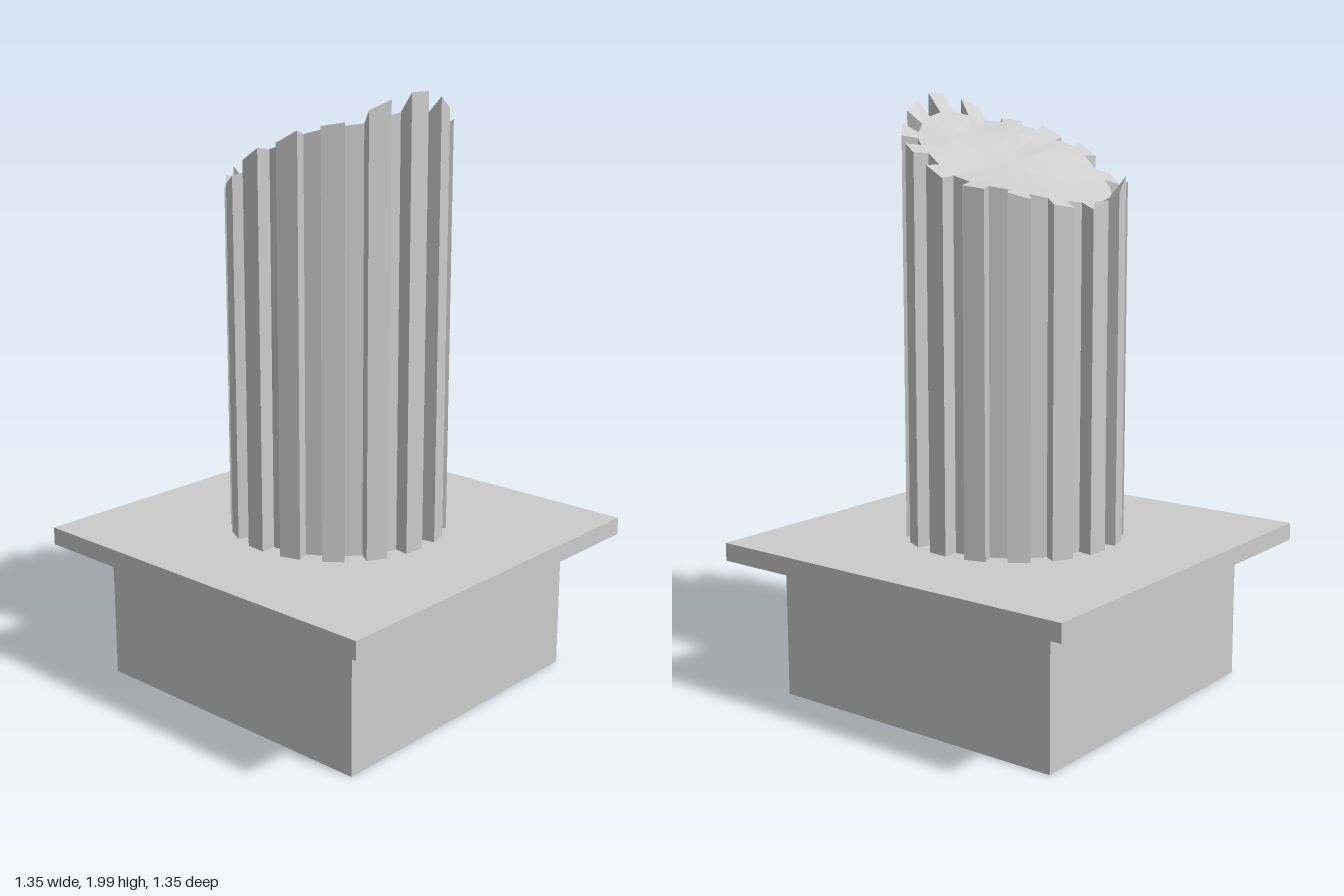
import * as THREE from 'three';

const OUTER = 0.364, INNER = 0.312, SIDES = 32, BASE_Y = 0.53;

// Heights of the break along z, on the left (-x) and right (+x) flank
const LOW_X = [[-0.36, 1.63], [-0.2, 1.69], [-0.13, 1.73], [-0.07, 1.78], [0, 1.82], [0.07, 1.84],
  [0.13, 1.88], [0.27, 1.92], [0.335, 2.0], [0.37, 2.04]];
const HIGH_X = [[-0.36, 1.62], [-0.2, 1.68], [-0.07, 1.7], [0, 1.72], [0.13, 1.79], [0.27, 1.84],
  [0.335, 1.89], [0.37, 1.95]];
// Splintered corners standing up at the back, by corner index
const SPLINTERS = { 21: 1.7, 22: 1.72, 23: 1.67, 24: 1.65 };

function sample(table, z) {
  for (let i = 1; i < table.length; i++) {
    const [z0, y0] = table[i - 1], [z1, y1] = table[i];
    if (z <= z1) return y0 + (y1 - y0) * Math.max(0, (z - z0) / (z1 - z0));
  }
  return table[table.length - 1][1];
}

function breakHeight(x, z) {
  const t = x / (2 * OUTER) + 0.5;
  return Math.min(2, sample(LOW_X, z) * (1 - t) + sample(HIGH_X, z) * t);
}

// Point on the broken surface at a given radius and corner index
function topPoint(r, i) {
  const a = (i / SIDES) * Math.PI * 2;
  const x = r * Math.cos(a), z = r * Math.sin(a);
  const splinter = r === OUTER ? SPLINTERS[i % SIDES] : undefined;
  return [x, splinter ?? breakHeight(x, z), z];
}

function brokenShaft() {
  const pos = [];
  const quad = (a, b, c, d) => pos.push(...a, ...b, ...c, ...a, ...c, ...d);
  const drop = (p) => [p[0], BASE_Y, p[2]];
  const wall = (p, q) => quad(drop(p), p, q, drop(q));
  const rings = [0.1, 0.21, INNER];
  const centre = topPoint(0, 0);

  for (let i = 0; i < SIDES; i++) {
    // Broken top, ring by ring
    pos.push(...centre, ...topPoint(rings[0], i + 1), ...topPoint(rings[0], i));
    for (let k = 1; k < rings.length; k++) {
      quad(topPoint(rings[k - 1], i), topPoint(rings[k - 1], i + 1),
        topPoint(rings[k], i + 1), topPoint(rings[k], i));
    }
    // Alternate ridges and flutes
    const in0 = topPoint(INNER, i), in1 = topPoint(INNER, i + 1);
    if (i % 2 === 0) {
      const out0 = topPoint(OUTER, i), out1 = topPoint(OUTER, i + 1);
      quad(in0, in1, out1, out0);
      wall(in0, out0);
      wall(out0, out1);
      wall(out1, in1);
    } else {
      wall(in0, in1);
    }
    // Underside
    pos.push(0, BASE_Y, 0, ...drop(in0), ...drop(in1));
  }
  const geo = new THREE.BufferGeometry();
  geo.setAttribute('position', new THREE.Float32BufferAttribute(pos, 3));
  geo.computeVertexNormals();
  return geo;
}

export function createModel() {
  const group = new THREE.Group();
  group.name = 'brokenColumn';
  const material = new THREE.MeshStandardMaterial({ color: 0xcccccc, flatShading: true });

  const add = (name, geometry, y = 0) => {
    const mesh = new THREE.Mesh(geometry, material);
    mesh.name = name;
    mesh.position.y = y;
    group.add(mesh);
  };

  add('plinth', new THREE.BoxGeometry(1.08, 0.47, 1.08), 0.235);
  add('slab', new THREE.BoxGeometry(1.354, 0.06, 1.354), 0.5);
  add('flutedShaft', brokenShaft());
  return group;
}
